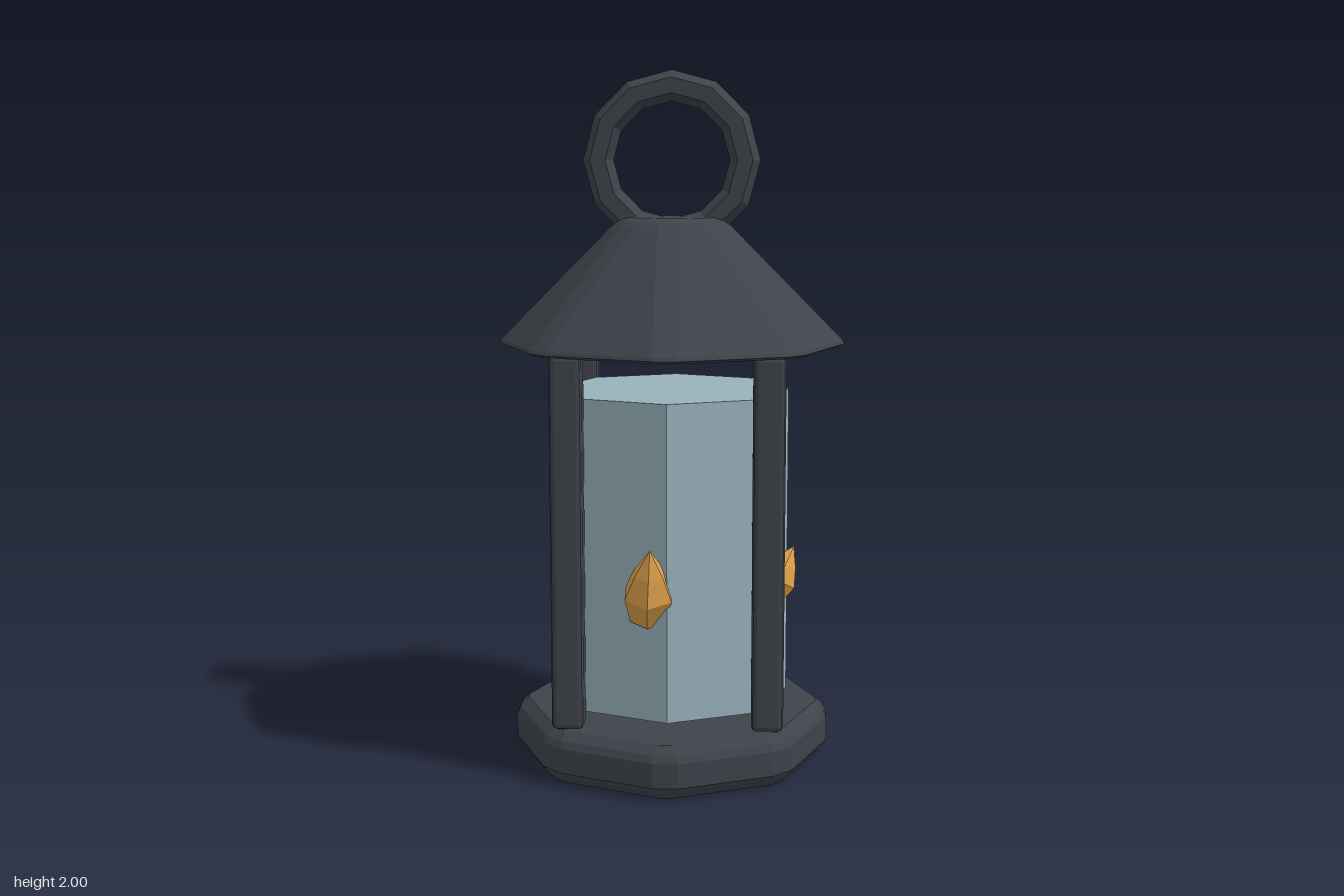
import * as THREE from 'three';
import { RoundedBoxGeometry } from 'three/addons/geometries/RoundedBoxGeometry.js';

const SIDES = 8;

// Closed octagonal solid with clipped corners, lofted through rings of [radius, y, corner clip]
function octagonLoft(rings) {
  const n = SIDES * 2;
  const loops = rings.map(([r, y, clip]) => {
    const corner = (k) => {
      const a = (k / SIDES) * Math.PI * 2;
      return new THREE.Vector3(r * Math.cos(a), y, -r * Math.sin(a));
    };
    const t = clip / (2 * r * Math.sin(Math.PI / SIDES));
    const loop = [];
    for (let k = 0; k < SIDES; k++) {
      loop.push(corner(k).lerp(corner(k - 1), t), corner(k).lerp(corner(k + 1), t));
    }
    return loop;
  });
  const pos = [];
  const tri = (...pts) => pts.forEach((p) => pos.push(p.x, p.y, p.z));
  const bottom = new THREE.Vector3(0, rings[0][1], 0);
  const top = new THREE.Vector3(0, rings[rings.length - 1][1], 0);
  for (let i = 0; i < n; i++) {
    const j = (i + 1) % n;
    for (let s = 0; s < loops.length - 1; s++) {
      const lo = loops[s], hi = loops[s + 1];
      tri(lo[i], lo[j], hi[j]);
      tri(lo[i], hi[j], hi[i]);
    }
    tri(bottom, loops[0][j], loops[0][i]);
    tri(top, loops[loops.length - 1][i], loops[loops.length - 1][j]);
  }
  const geo = new THREE.BufferGeometry();
  geo.setAttribute('position', new THREE.Float32BufferAttribute(pos, 3));
  geo.computeVertexNormals();
  return geo;
}

// Faceted teardrop running from base to tip
function flameMesh(base, tip, radius, material) {
  const from = new THREE.Vector3(...base);
  const dir = new THREE.Vector3(...tip).sub(from);
  const len = dir.length();
  const profile = [[0, 0], [0.75, 0.03], [1, 0.38], [0.6, 0.68], [0, 1]]
    .map(([r, h]) => new THREE.Vector2(r * radius, h * len));
  const geo = new THREE.LatheGeometry(profile, 6).toNonIndexed();
  geo.computeVertexNormals();
  const mesh = new THREE.Mesh(geo, material);
  mesh.position.copy(from);
  mesh.quaternion.setFromUnitVectors(new THREE.Vector3(0, 1, 0), dir.normalize());
  return mesh;
}

export function createModel() {
  const model = new THREE.Group();
  model.name = 'lantern';

  const mat = (name, color) => {
    const m = new THREE.MeshStandardMaterial({ color });
    m.name = name;
    return m;
  };
  const metal = mat('dark iron', 0x3e434a);
  const glass = mat('blue grey glass', 0x98b1bb);
  const amber = mat('amber flame', 0xe0a24c);
  metal.flatShading = glass.flatShading = amber.flatShading = true;

  const add = (name, geometry, material, x = 0, y = 0, z = 0) => {
    const mesh = new THREE.Mesh(geometry, material);
    mesh.name = name;
    mesh.position.set(x, y, z);
    model.add(mesh);
    return mesh;
  };

  // Bevelled base slab
  add('base', octagonLoft([
    [0.435, 0.005, 0.02], [0.465, 0.03, 0.04], [0.475, 0.045, 0.04],
    [0.475, 0.115, 0.04], [0.465, 0.135, 0.04], [0.435, 0.157, 0.02],
  ]), metal);

  // Sloping roof with a softened cap
  add('roof', octagonLoft([
    [0.49, 1.217, 0.03], [0.511, 1.225, 0.035], [0.506, 1.235, 0.035],
    [0.185, 1.56, 0.035], [0.165, 1.575, 0.035], [0.135, 1.585, 0.03],
  ]), metal);

  // Glass chamber
  add('glassChamber', new THREE.CylinderGeometry(0.34, 0.34, 0.9, SIDES), glass, 0, 0.64, 0);

  // Four corner posts
  for (const sx of [-1, 1]) {
    for (const sz of [-1, 1]) {
      add('cornerPost', new RoundedBoxGeometry(0.09, 1.06, 0.09, 1, 0.015), metal,
        sx * 0.28, 0.69, sz * 0.28);
    }
  }

  // Carrying ring
  add('carryingRing', new THREE.TorusGeometry(0.21, 0.044, 6, 12), metal, 0, 1.746, 0);

  // Flames: two push out through the glass, three stand inside
  const flames = new THREE.Group();
  flames.name = 'flames';
  [
    ['frontFlame', [-0.055, 0.475, 0.275], [-0.045, 0.69, 0.37], 0.075],
    ['leftFlame', [0.28, 0.475, 0.02], [0.36, 0.625, 0.01], 0.065],
    ['innerFlame', [-0.06, 0.168, 0.13], [-0.04, 0.6, 0.08], 0.1],
    ['innerFlame', [0.13, 0.17, 0], [0.08, 0.7, 0], 0.1],
    ['innerFlame', [-0.05, 0.17, -0.11], [-0.03, 0.55, -0.08], 0.1],
  ].forEach(([name, base, tip, r]) => {
    const flame = flameMesh(base, tip, r, amber);
    flame.name = name;
    flames.add(flame);
  });
  model.add(flames);

  return model;
}
